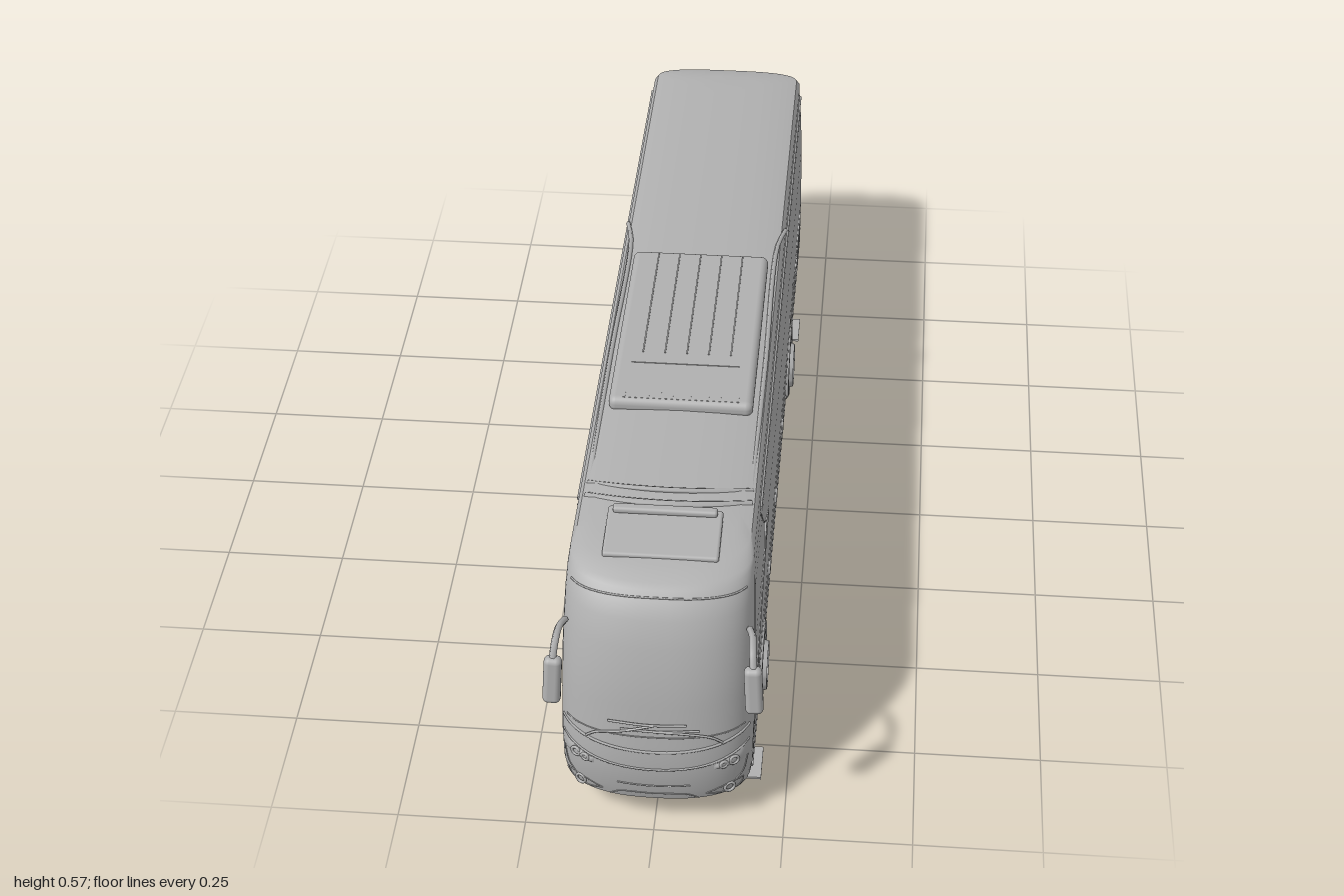
import * as THREE from 'three';
import { toCreasedNormals } from 'three/addons/utils/BufferGeometryUtils.js';
import { RoundedBoxGeometry } from 'three/addons/geometries/RoundedBoxGeometry.js';

const grey = new THREE.MeshStandardMaterial({ color: 0xb0b0b0, side: THREE.DoubleSide });
grey.name = 'body grey';

// Horizontal layers of the shell: height, half width, front z, back z
const LAYERS = [
  [0.06, 0, 0.9, -0.9], [0.06, 0.172, 0.965, -0.955], [0.072, 0.181, 0.985, -0.972],
  [0.1, 0.184, 0.992, -0.98], [0.165, 0.185, 0.995, -0.985], [0.21, 0.185, 0.988, -0.987],
  [0.3, 0.184, 0.976, -0.985], [0.36, 0.183, 0.963, -0.985], [0.42, 0.181, 0.945, -0.978],
  [0.47, 0.179, 0.925, -0.97], [0.5, 0.177, 0.905, -0.967], [0.515, 0.175, 0.888, -0.975],
  [0.522, 0.174, 0.875, -0.998], [0.533, 0.166, 0.835, -0.997], [0.539, 0.14, 0.79, -0.98],
  [0.543, 0.08, 0.72, -0.95], [0.545, 0, 0.66, -0.9],
];
const FRONT = { depth: 0.11, n: 2.4 }, BACK = { depth: 0.045, n: 3 };

// Shell dimensions at a height
function layerAt(y) {
  let i = 1;
  while (i < LAYERS.length - 2 && LAYERS[i + 1][0] < y) i++;
  const a = LAYERS[i], b = LAYERS[i + 1];
  const t = THREE.MathUtils.clamp((y - a[0]) / (b[0] - a[0]), 0, 1);
  return a.map((v, k) => v + (b[k] - v) * t);
}

// Points lying on the end or side of the shell, lifted by a small offset
function onEnd(end, x, y, lift = 0) {
  const [, w, zf, zb] = layerAt(y), e = end > 0 ? FRONT : BACK;
  const r = Math.max(0, 1 - Math.min(1, Math.abs(x) / w) ** e.n) ** (1 / e.n);
  const z = end > 0 ? zf - e.depth + e.depth * r : zb + e.depth - e.depth * r;
  return new THREE.Vector3(x, y, z + end * lift);
}
const onSide = (s, z, y, lift = 0) => new THREE.Vector3(s * (layerAt(y)[1] + lift), y, z);

function shellGeometry() {
  const pos = [], idx = [], N = 32, row = 2 * (N + 1);
  for (const [y, w, zf, zb] of LAYERS) {
    for (const [e, start, base] of [[FRONT, 0, zf - FRONT.depth], [BACK, Math.PI, zb + BACK.depth]]) {
      for (let i = 0; i <= N; i++) {
        const t = start + Math.PI * i / N, c = Math.cos(t), s = Math.sin(t);
        pos.push(w * Math.sign(c) * Math.abs(c) ** (2 / e.n), y,
          base + e.depth * Math.sign(s) * Math.abs(s) ** (2 / e.n));
      }
    }
  }
  for (let j = 0; j < LAYERS.length - 1; j++) {
    for (let i = 0; i < row; i++) {
      const a = j * row + i, b = j * row + (i + 1) % row;
      idx.push(a, a + row, b, b, a + row, b + row);
    }
  }
  const g = new THREE.BufferGeometry();
  g.setAttribute('position', new THREE.Float32BufferAttribute(pos, 3));
  g.setIndex(idx);
  return toCreasedNormals(g, 0.6);
}

export function createModel() {
  const bus = new THREE.Group();
  bus.name = 'coach';
  const add = (name, geo, x = 0, y = 0, z = 0) => {
    const m = new THREE.Mesh(geo, grey);
    m.name = name;
    m.position.set(x, y, z);
    bus.add(m);
    return m;
  };
  const box = (name, w, h, d, x, y, z) => add(name, new THREE.BoxGeometry(w, h, d), x, y, z);
  const tube = (name, pts, r, steps = 24) =>
    add(name, new THREE.TubeGeometry(new THREE.CatmullRomCurve3(pts), steps, r, 6));
  // Trim line hugging the front or back
  const endTrim = (name, end, pts, r = 0.0015) => {
    const c = new THREE.CatmullRomCurve3(pts.map(([x, y]) => new THREE.Vector3(x, y, 0)));
    return tube(name, c.getPoints(20).map(p => onEnd(end, p.x, p.y)), r, 40);
  };
  // Curved plate hugging an end, between a lower and an upper edge
  const endPlate = (name, end, x0, x1, low, high, lift) => {
    const g = new THREE.PlaneGeometry(1, 1, 20, 4), p = g.attributes.position;
    for (let i = 0; i < p.count; i++) {
      const u = p.getX(i) + 0.5, v = p.getY(i) + 0.5, x = x0 + (x1 - x0) * (end > 0 ? u : 1 - u);
      const edge = Math.min(1, 8 * Math.min(v, 1 - v, u, 1 - u));
      const q = onEnd(end, x, low(x) + (high(x) - low(x)) * v, lift * edge);
      p.setXYZ(i, q.x, q.y, q.z);
    }
    g.computeVertexNormals();
    return add(name, g);
  };

  add('bodyShell', shellGeometry());

  // Roof: air conditioner, fairing, hatch and gutter rails
  add('airConditioner', new RoundedBoxGeometry(0.29, 0.034, 0.54, 4, 0.015), 0, 0.548, 0.105);
  for (const x of [-0.09, -0.045, 0, 0.045, 0.09]) box('unitRib', 0.003, 0.003, 0.36, x, 0.5655, 0.03);
  box('unitSeam', 0.22, 0.002, 0.004, 0, 0.5655, 0.245);
  for (let i = 0; i < 20; i++) box('unitVent', 0.005, 0.006, 0.02, -0.114 + i * 0.012, 0.5625, 0.355);
  const arch = (z, r, h) => tube('roofFairing', [-1, -0.8, -0.5, 0, 0.5, 0.8, 1].map(u =>
    new THREE.Vector3(u * 0.16, 0.531 + h * (1 - u * u), z + 0.03 * (1 - u * u))), r);
  arch(0.6, 0.006, 0.016);
  arch(0.64, 0.008, 0.014);
  const hatch = add('roofHatch', new RoundedBoxGeometry(0.22, 0.014, 0.13, 3, 0.006), 0, 0.541, 0.755);
  hatch.rotation.x = 0.1;
  add('hatchLip', new RoundedBoxGeometry(0.2, 0.014, 0.02, 3, 0.006), 0, 0.558, 0.705);
  for (const s of [-1, 1]) {
    tube('roofGutter', [0.62, 0.2, -0.4, -0.93].map(z => onSide(s, z, 0.506)), 0.004);
    tube('roofRail', [new THREE.Vector3(s * 0.157, 0.53, 0.6), new THREE.Vector3(s * 0.16, 0.536, 0.2),
      new THREE.Vector3(s * 0.16, 0.536, -0.24), new THREE.Vector3(s * 0.174, 0.528, -0.32)], 0.005);
  }

  // Windscreen edges, nose creases and bumper
  const bow = (w, side, mid) => [-1, -0.6, 0, 0.6, 1].map(u => [u * w, mid + (side - mid) * u * u]);
  endTrim('windscreenTop', 1, bow(0.165, 0.5, 0.506), 0.002);
  endTrim('windscreenBottom', 1, bow(0.178, 0.22, 0.198), 0.003);
  endTrim('cowlLine', 1, bow(0.17, 0.232, 0.232));
  endTrim('noseCrease', 1, bow(0.178, 0.186, 0.157), 0.0025);
  endTrim('bumperSlot', 1, [[-0.07, 0.114], [0, 0.112], [0.07, 0.114]], 0.0018);
  endTrim('bumperLip', 1, bow(0.174, 0.07, 0.064), 0.003);
  endTrim('lowerIntake', 1, [[-0.085, 0.073], [-0.065, 0.087], [0, 0.089], [0.065, 0.087], [0.085, 0.073]]);

  // Headlamps, fog lamps and wipers
  for (const s of [-1, 1]) {
    const k = x => Math.abs(x) - 0.115;
    endPlate('headlamp', 1, s > 0 ? 0.115 : -0.176, s > 0 ? 0.176 : -0.115,
      x => 0.15 - 0.02 * k(x), x => 0.163 + 0.35 * k(x), 0.004);
    for (const [name, x, y, r] of [['headlampLens', 0.133, 0.161, 0.007], ['headlampLens', 0.152, 0.163, 0.009],
      ['fogLamp', 0.144, 0.09, 0.01]]) {
      const lens = add(name, new THREE.TorusGeometry(r, 0.003, 8, 20));
      lens.position.copy(onEnd(1, s * x, y, 0.003));
      lens.rotation.y = s * 0.5;
    }
    endTrim('fogLampSurround', 1, [[s * 0.1, 0.085], [s * 0.13, 0.076], [s * 0.162, 0.078],
      [s * 0.168, 0.097], [s * 0.14, 0.1], [s * 0.1, 0.085]]);
    endTrim('bumperCorner', 1, [[s * 0.176, 0.15], [s * 0.168, 0.115], [s * 0.155, 0.103]]);
    const y = s > 0 ? 0.25 : 0.264;
    tube('wiperArm', [[0.13, 0.216], [0.11, 0.232], [0.06, 0.246], [0, y]].map(([x, h]) =>
      onEnd(1, s * x, h, 0.006)), 0.0025);
    tube('wiperBlade', [-0.075, 0, 0.075].map(x => onEnd(1, x + s * 0.012, y, 0.005)), 0.0025);
  }

  // Mirrors on curved arms
  for (const s of [-1, 1]) {
    tube('mirrorArm', [[0.174, 0.43, 0.885], [0.181, 0.442, 0.92], [0.184, 0.438, 0.96], [0.187, 0.41, 0.982]]
      .map(([x, y, z]) => new THREE.Vector3(s * x, y, z)), 0.007);
    const head = add('mirrorHead', new RoundedBoxGeometry(0.034, 0.104, 0.026, 4, 0.011), s * 0.188, 0.367, 0.983);
    head.rotation.set(-0.08, 0, s * 0.05);
  }

  // Rear: window lip, slot, engine panel, lamps and bumper
  endTrim('rearWindowLip', -1, bow(0.172, 0.41, 0.43), 0.003);
  endPlate('rearBand', -1, -0.165, 0.165, x => 0.325 + 0.8 * x * x, x => 0.36 + 0.6 * x * x, 0.008);
  endTrim('rearSlot', -1, bow(0.15, 0.34, 0.318), 0.004);
  endPlate('enginePanel', -1, -0.12, 0.12, x => 0.15 + 1.5 * x * x, () => 0.29, 0.005);
  endTrim('enginePanelEdge', -1, [[-0.165, 0.3], [-0.15, 0.2], [-0.1, 0.13], [0, 0.122], [0.1, 0.13], [0.15, 0.2], [0.165, 0.3]], 0.003);
  endTrim('rearBumper', -1, bow(0.172, 0.1, 0.088), 0.005);
  for (const s of [-1, 1]) {
    endPlate('tailLamp', -1, s > 0 ? 0.148 : -0.178, s > 0 ? 0.178 : -0.148, () => 0.21, () => 0.31, 0.005);
    endPlate('rearReflector', -1, s > 0 ? 0.11 : -0.165, s > 0 ? 0.165 : -0.11, () => 0.078, () => 0.093, 0.007);
  }

  // Frame hanging under the engine
  for (const x of [-0.065, 0, 0.065]) box('engineGuardRail', 0.005, 0.006, 0.2, x, 0.053, -0.85);
  for (const z of [-0.95, -0.9, -0.85, -0.8, -0.75]) box('engineGuardBar', 0.135, 0.005, 0.006, 0, 0.053, z);

  // Side trim, marker lamps, flaps and louvres
  for (const s of [-1, 1]) {
    tube('sideSwoosh', [[0.63, 0.5], [0.57, 0.43], [0.5, 0.38], [0.44, 0.355]].map(([z, y]) => onSide(s, z, y)), 0.002);
    tube('windowSweep', [[0.87, 0.245], [0.75, 0.28], [0.6, 0.325], [0.44, 0.355]].map(([z, y]) => onSide(s, z, y)), 0.002);
    const shape = new THREE.Shape([[0.44, 0.355], [0.53, 0.4], [0.56, 0.345]].map(p => new THREE.Vector2(...p)));
    const fin = add('sideFin', new THREE.ExtrudeGeometry(shape, { depth: 0.004, bevelEnabled: false }), s * 0.183 + 0.002);
    fin.rotation.y = -Math.PI / 2;
    for (const z of [0.39, 0.155, -0.09])
      add('markerLamp', new RoundedBoxGeometry(0.008, 0.02, 0.03, 2, 0.003), s * 0.185, 0.161, z);
    for (const [z, y] of [[0.81, 0.203], [-0.655, 0.203]]) box('sideReflector', 0.006, 0.007, 0.03, s * 0.185, y, z);
    for (const [z, y] of [[0.735, 0.22], [-0.415, 0.22], [-0.52, 0.235]]) box('sideCatch', 0.005, 0.016, 0.014, s * 0.184, y, z);
    for (let i = 0; i < 6; i++) box('engineLouvre', 0.006, 0.005, 0.15, s * 0.185, 0.145 + i * 0.015, -0.79);
    box('sideSkirt', 0.006, 0.006, 1.75, s * 0.181, 0.066, 0);
  }

  // Fold-out steps below the two doors
  for (const z of [0.85, -0.615]) {
    box('doorStep', 0.045, 0.005, 0.085, 0.178, 0.048, z);
    for (const d of [-0.025, 0.025]) box('stepBracket', 0.012, 0.018, 0.006, 0.166, 0.056, z + d);
  }

  // Wheels with raised hub rings, arches and mud flaps
  const profile = [[0.001, 0.002], [0.018, 0.002], [0.022, -0.006], [0.038, -0.006], [0.042, 0.01], [0.049, 0.01],
    [0.053, -0.002], [0.07, 0.002], [0.079, -0.003], [0.083, -0.012], [0.083, -0.096], [0.001, -0.096]]
    .map(([r, y]) => new THREE.Vector2(r, y)).reverse();
  const wheelGeo = toCreasedNormals(new THREE.LatheGeometry(profile, 40), 0.5);
  for (const s of [-1, 1]) {
    for (const z of [0.605, -0.425]) {
      const wheel = add('wheel', wheelGeo, s * 0.187, 0.083, z);
      wheel.rotation.z = -s * Math.PI / 2;
      const archRing = add('wheelArch', new THREE.TorusGeometry(0.094, 0.005, 8, 36, Math.PI + 0.3), s * 0.184, 0.077, z);
      archRing.rotation.set(0, Math.PI / 2, 0);
      archRing.geometry.rotateZ(-0.15);
      for (let i = 0; i < 10; i++) {
        const a = i * Math.PI / 5;
        const nut = add('wheelNut', new THREE.CylinderGeometry(0.003, 0.003, 0.008, 6),
          s * 0.184, 0.083 + 0.031 * Math.sin(a), z + 0.031 * Math.cos(a));
        nut.rotation.z = Math.PI / 2;
      }
      const flap = box('mudFlap', 0.09, 0.062, 0.003, s * 0.138, 0.037, z - 0.103);
      flap.rotation.x = 0.5;
    }
  }
  return bus;
}
